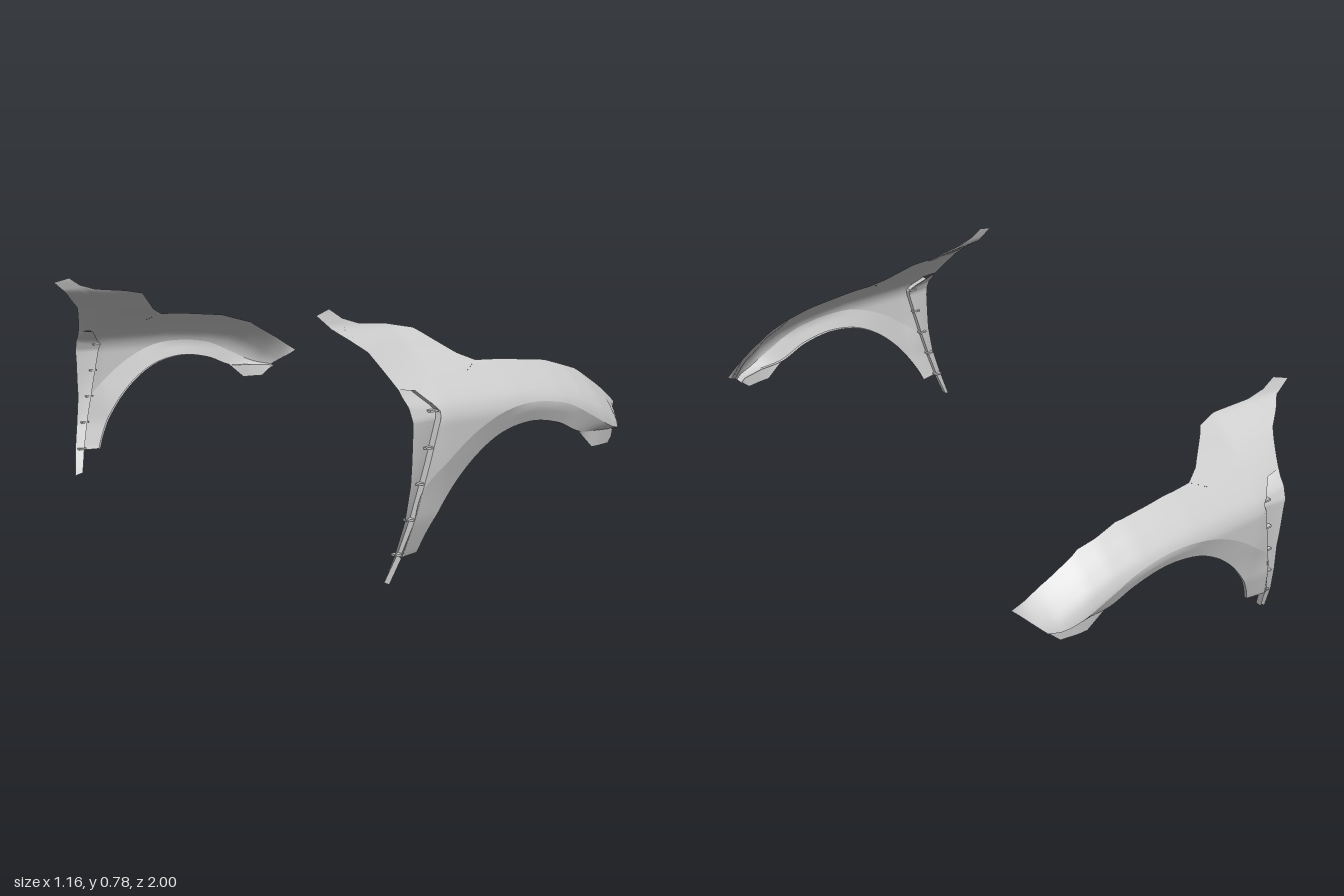
import * as THREE from 'three';

const paint = new THREE.MeshStandardMaterial({ color: 0xcccccc, side: THREE.DoubleSide });
paint.name = 'primer grey';

// Piecewise linear lookup in a short [key, value] table
function lookup(table, k) {
  if (k <= table[0][0]) return table[0][1];
  for (let i = 1; i < table.length; i++) {
    const [a, va] = table[i - 1], [b, vb] = table[i];
    if (k <= b) return va + (vb - va) * (k - a) / (b - a);
  }
  return table[table.length - 1][1];
}

const heightProfile = [[0, 0.937], [0.1, 0.967], [0.2, 0.985], [0.36, 0.996], [0.48, 1], [0.52, 0.985],
  [0.563, 0.945], [0.612, 0.89], [0.65, 0.845], [0.7, 0.79], [0.722, 0.757], [0.78, 0.738]];
const topEdge = [[0, 0.612], [0.1, 0.605], [0.2, 0.595], [0.3, 0.575], [0.38, 0.545], [0.45, 0.505], [0.58, 0.424]];
const noseTaper = [[0, 1], [0.2, 0.98], [0.4, 0.9], [0.48, 0.78], [0.54, 0.47], [0.58, 0]];

// Depth of the curved body side at a point of the side elevation
function depth(x, y) {
  const g = lookup(heightProfile, y + 0.612 - lookup(topEdge, x));
  const rear = Math.max(0, -0.28 - x) * lookup([[0.54, -0.1], [0.66, 0.16]], y);
  return 0.865 + (g - 0.865) * lookup(noseTaper, x) + rear;
}

function surfaceNormal(x, y) {
  const h = 0.018;
  return new THREE.Vector3(
    -(depth(x + h, y) - depth(x - h, y)) / (2 * h),
    -(depth(x, y + h) - depth(x, y - h)) / (2 * h), 1).normalize();
}

const line = (pts) => (t) => {
  const f = t * (pts.length - 1), i = Math.min(Math.floor(f), pts.length - 2), r = f - i;
  return [0, 1].map((k) => pts[i][k] + (pts[i + 1][k] - pts[i][k]) * r);
};
const smooth = (pts) => {
  const c = new THREE.CatmullRomCurve3(pts.map(([x, y]) => new THREE.Vector3(x, y, 0)));
  return (t) => { const p = c.getPoint(t); return [p.x, p.y]; };
};

// Sheet between two edge curves, laid on the body side with an inset along each edge
function sheet(name, low, high, { nu = 48, nv = 8, lowInset = 0, highInset = 0, bodyNormals = false } = {}) {
  const pos = [], nor = [], idx = [];
  for (let i = 0; i <= nu; i++) {
    const a = low(i / nu), b = high(i / nu);
    for (let j = 0; j <= nv; j++) {
      const s = j / nv, x = a[0] + (b[0] - a[0]) * s, y = a[1] + (b[1] - a[1]) * s;
      pos.push(x, y, depth(x, y) - lowInset * (1 - s) - highInset * s);
      nor.push(...surfaceNormal(x, y).toArray());
      if (i < nu && j < nv) {
        const p = i * (nv + 1) + j, q = p + nv + 1;
        idx.push(p, q, q + 1, p, q + 1, p + 1);
      }
    }
  }
  const geo = new THREE.BufferGeometry();
  geo.setAttribute('position', new THREE.Float32BufferAttribute(pos, 3));
  geo.setIndex(idx);
  if (bodyNormals) geo.setAttribute('normal', new THREE.Float32BufferAttribute(nor, 3));
  else geo.computeVertexNormals();
  const mesh = new THREE.Mesh(geo, paint);
  mesh.name = name;
  return mesh;
}

// Edge curves, from the rear of the fender to its nose
const arch = smooth([[-0.335, 0.092], [-0.31, 0.15], [-0.27, 0.217], [-0.21, 0.293], [-0.13, 0.363], [-0.04, 0.41],
  [0.08, 0.43], [0.2, 0.412], [0.3, 0.373], [0.4, 0.366], [0.505, 0.358]]);
const crease = smooth([[-0.41, 0.092], [-0.382, 0.18], [-0.355, 0.28], [-0.27, 0.357], [-0.17, 0.427], [-0.05, 0.477],
  [0.08, 0.49], [0.22, 0.47], [0.33, 0.423], [0.43, 0.378], [0.507, 0.36]]);
const crown = line([[-0.41, 0.092], [-0.382, 0.18], [-0.355, 0.28], [-0.3, 0.5], [-0.2, 0.56], [-0.07, 0.615],
  [0.03, 0.611], [0.22, 0.593], [0.36, 0.555], [0.49, 0.482], [0.578, 0.425]]);
const branchLow = line([[-0.58, 0.765], [-0.445, 0.655], [-0.41, 0.563], [-0.355, 0.558], [-0.3, 0.5],
  [-0.2, 0.56], [-0.157, 0.578], [-0.113, 0.597], [-0.07, 0.615]]);
const branchTop = line([[-0.58, 0.765], [-0.525, 0.78], [-0.48, 0.752], [-0.42, 0.735], [-0.3, 0.725],
  [-0.215, 0.71], [-0.17, 0.675], [-0.12, 0.637], [-0.07, 0.615]]);
const ventRear = line([[-0.45, 0], [-0.43, 0.1], [-0.41, 0.2], [-0.398, 0.3], [-0.398, 0.45], [-0.402, 0.51], [-0.41, 0.563]]);
const ventFront = line([[-0.425, 0.012], [-0.403, 0.092], [-0.378, 0.19], [-0.351, 0.295], [-0.31, 0.46], [-0.3, 0.5], [-0.355, 0.558]]);

function createFender() {
  const fender = new THREE.Group();
  fender.add(
    sheet('archPanel', crease, crown, { nu: 80, nv: 12, bodyNormals: true }),
    sheet('rearUpperPanel', branchLow, branchTop, { nu: 64, nv: 12, bodyNormals: true }),
    sheet('wheelArchBand', arch, crease, { nu: 80, nv: 4, lowInset: 0.022 }),
    sheet('wheelArchReturn', arch, arch, { nu: 80, nv: 1, lowInset: 0.034, highInset: 0.022 }),
    sheet('ventPanel', ventFront, ventRear, { nu: 36, nv: 4, lowInset: 0.022 }),
    sheet('ventStep', ventFront, ventFront, { nu: 36, nv: 1, lowInset: 0.022 }),
  );

  // Lower tab under the nose
  fender.add(sheet('noseTab',
    line([[0.3, 0.373], [0.37, 0.315], [0.46, 0.315], [0.505, 0.358]]),
    (t) => arch(0.8 + 0.2 * t),
    { nu: 24, nv: 3, lowInset: 0.028, highInset: 0.024 }));

  // Small clips along the vent edge
  for (const [x, y] of [[-0.318, 0.502], [-0.334, 0.4], [-0.357, 0.3], [-0.383, 0.2], [-0.408, 0.1]]) {
    const clip = new THREE.Mesh(new THREE.BoxGeometry(0.03, 0.006, 0.022), paint);
    clip.name = 'ventClip';
    clip.position.set(x, y, depth(x, y) - 0.014);
    fender.add(clip);
  }
  return fender;
}

export function createModel() {
  const model = new THREE.Group();
  model.name = 'fenderPair';
  for (const side of [1, -1]) {
    const fender = createFender();
    fender.name = side > 0 ? 'nearFender' : 'farFender';
    fender.scale.z = side;
    model.add(fender);
  }
  return model;
}
